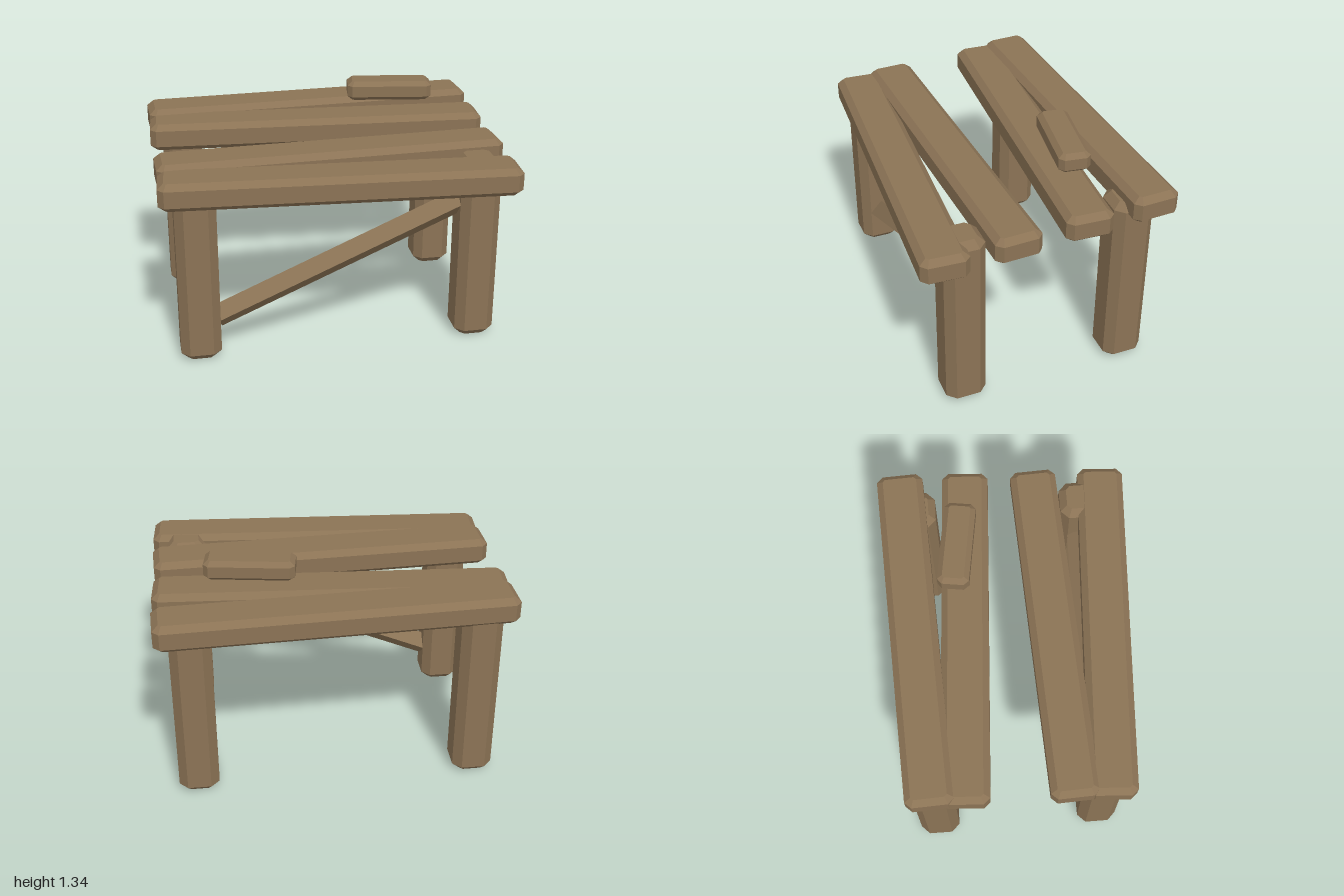
import * as THREE from 'three';

const wood = new THREE.MeshStandardMaterial({ color: 0x8b7355 });
wood.name = 'weatheredWood';

// Upright block with cut corners and chamfered top and bottom rims, centred on its origin
function chamferedBlock(w, h, d, corner, inset, rise) {
  const x = w / 2, y = d / 2, c = corner;
  const outline = new THREE.Shape([
    [x, -y + c], [x, y - c], [x - c, y], [-x + c, y],
    [-x, y - c], [-x, -y + c], [-x + c, -y], [x - c, -y],
  ].map(([a, b]) => new THREE.Vector2(a, b)));
  const geometry = new THREE.ExtrudeGeometry(outline, {
    depth: h - 2 * rise, bevelEnabled: true, bevelSegments: 1,
    bevelSize: inset, bevelOffset: -inset, bevelThickness: rise,
  });
  return geometry.rotateX(-Math.PI / 2).translate(0, -h / 2 + rise, 0);
}

export function createModel() {
  const group = new THREE.Group();
  group.name = 'brokenTable';

  const add = (name, geometry, x, y, z, turn = 0) => {
    const mesh = new THREE.Mesh(geometry, wood);
    mesh.name = name;
    mesh.position.set(x, y, z);
    mesh.rotation.y = turn;
    group.add(mesh);
    return mesh;
  };

  // Four crooked planks, stepping down from back to front: y, z, turn
  const plank = chamferedBlock(1.987, 0.16, 0.267, 0.035, 0.036, 0.032);
  [
    [1.098, -0.559, 0.04],
    [1.07, -0.272, -0.06],
    [1.047, 0.225, 0.04],
    [1.022, 0.53, -0.06],
  ].forEach(([y, z, turn], i) => add(`plank${i + 1}`, plank, 0, y, z, turn));

  // Four stout legs
  const leg = chamferedBlock(0.23, 1.1, 0.235, 0.048, 0.04, 0.042);
  for (const [side, x] of [['Left', 0.8], ['Right', -0.8]]) {
    add(`front${side}Leg`, leg, x, 0.55, 0.452);
    add(`back${side}Leg`, leg, x, 0.55, -0.519);
  }

  // Slanted square brace between the front legs, set on its edge
  const slope = Math.atan2(0.612, 1.4);
  const brace = new THREE.CylinderGeometry(0.072, 0.072, 1.528, 4).toNonIndexed();
  brace.rotateZ(-Math.PI / 2);
  brace.computeVertexNormals();
  add('brace', brace, 0, 0.53, 0.452).rotation.z = slope;

  // Loose piece of wood above the tabletop
  add('looseBlock', chamferedBlock(0.5, 0.115, 0.178, 0.028, 0.028, 0.025), 0.448, 1.282, -0.285, -0.15);

  return group;
}
